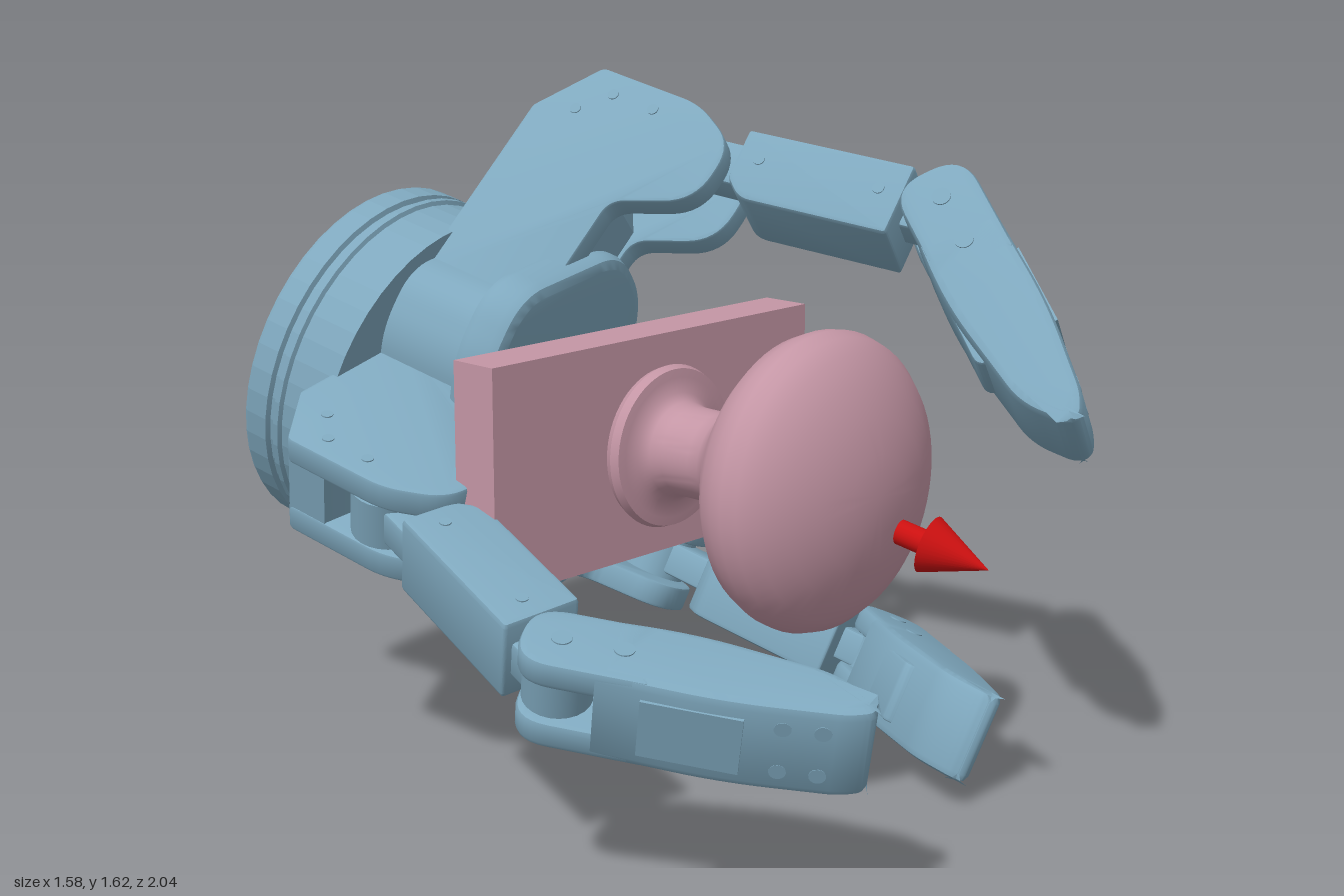
import * as THREE from 'three';
import { toCreasedNormals } from 'three/addons/utils/BufferGeometryUtils.js';

const V = (x, y, z) => new THREE.Vector3(x, y, z);
const blue = new THREE.MeshStandardMaterial({ color: 0x7fa8be });
const pink = new THREE.MeshStandardMaterial({ color: 0xc496a5 });
const red = new THREE.MeshStandardMaterial({ color: 0xcc1010 });

const AXIS = V(0.162, -0.248, 0.955).normalize(); // direction the hand points
const PALM = V(0.007, 0.739, -0.286);             // centre of the palm face

function add(parent, name, geo, mat = blue, x = 0, y = 0, z = 0) {
  const m = new THREE.Mesh(geo, mat);
  m.name = name;
  m.position.set(x, y, z);
  parent.add(m);
  return m;
}

// Polygon with rounded corners; each point is [x, y, radius]
function rounded(pts) {
  const s = new THREE.Shape();
  pts.forEach(([x, y, r = 0], i) => {
    const p = new THREE.Vector2(x, y);
    const toward = q => p.clone().add(new THREE.Vector2(q[0] - x, q[1] - y).setLength(r));
    const a = toward(pts[(i + pts.length - 1) % pts.length]);
    const b = toward(pts[(i + 1) % pts.length]);
    if (i) s.lineTo(a.x, a.y); else s.moveTo(a.x, a.y);
    if (r) s.quadraticCurveTo(x, y, b.x, b.y);
  });
  s.closePath();
  return s;
}

// Rounded outline extruded to thickness w, centred on z
function slab(pts, w, bevel = 0.008) {
  const g = new THREE.ExtrudeGeometry(rounded(pts), {
    depth: w - 2 * bevel, bevelEnabled: bevel > 0, bevelThickness: bevel,
    bevelSize: bevel, bevelOffset: -bevel, bevelSegments: 2, curveSegments: 8,
  });
  g.translate(0, 0, bevel - w / 2);
  return toCreasedNormals(g, 0.5);
}

const pin = (r, l) => new THREE.CylinderGeometry(r, r, l, 24).rotateX(Math.PI / 2);
const rect = (x0, x1, y0, y1, r = 0.02) => [[x0, y0, r], [x1, y0, r], [x1, y1, r], [x0, y1, r]];

// Group with x = radial, y = hand axis, z = hinge axis
function handFrame(name, hinge) {
  const h = hinge.clone().addScaledVector(AXIS, -hinge.dot(AXIS)).normalize();
  const r = AXIS.clone().cross(h);
  const g = new THREE.Group();
  g.name = name;
  g.applyMatrix4(new THREE.Matrix4().makeBasis(r, AXIS, h).setPosition(PALM));
  return g;
}

function link(parent, name, from, to) {
  const g = new THREE.Group();
  g.name = name;
  g.position.set(from[0], from[1], 0);
  g.rotation.z = Math.atan2(to[1] - from[1], to[0] - from[0]);
  parent.add(g);
  return g;
}

function knuckle(parent, du) {
  const g = new THREE.Group();
  g.name = 'knuckle';
  parent.add(g);
  const outline = [[0.14, -0.385], [0.66 + du, -0.385, 0.01], [0.82 + du, -0.27, 0.015], [0.82 + du, 0.02, 0.05],
    [0.75 + du, 0.16, 0.07], [0.58 + du, 0.16, 0.08], [0.5 + du, -0.04, 0.04], [0.14, -0.04]];
  // Solid back of the block; the hinge slot opens in front of it
  const core = [[0.14, -0.382], [0.66 + du, -0.382], [0.817 + du, -0.269], [0.817 + du, -0.16],
    [0.62 + du, -0.12], [0.52 + du, -0.05], [0.14, -0.05]];
  add(g, 'knuckleCore', slab(core, 0.2, 0));
  for (const s of [-1, 1]) {
    add(g, 'knuckleCheek', slab(outline, 0.065), blue, 0, 0, s * 0.0925);
    for (const [u, v] of [[0.76, -0.2], [0.69, -0.27], [0.76, -0.08]])
      add(g, 'knuckleScrew', pin(0.014, 0.006), blue, u + du, v, s * 0.125);
  }
  // Round port on the sloping back face
  const port = new THREE.TorusGeometry(0.05, 0.006, 8, 28).rotateX(Math.PI / 2);
  add(g, 'knucklePort', port, blue, 0.74 + du, -0.326, 0).rotation.z = Math.atan2(0.115, 0.16);
}

function proximal(parent, j1, j2) {
  const g = link(parent, 'proximalLink', j1, j2);
  add(g, 'innerHingeDrum', pin(0.085, 0.115));
  add(g, 'linkBar', slab(rect(-0.03, 0.7, -0.05, 0.06), 0.085));
  add(g, 'linkHousing', slab([[0.17, -0.065, 0.01], [0.6, -0.07, 0.01], [0.6, 0.115, 0.01], [0.22, 0.12, 0.03], [0.17, 0.07, 0.02]], 0.195, 0.012));
  add(g, 'outerHingeDrum', pin(0.075, 0.085), blue, 0.7);
  for (const s of [-1, 1]) for (const x of [0.23, 0.54])
    add(g, 'linkScrew', pin(0.014, 0.006), blue, x, 0.01, s * 0.0975);
}

function distal(parent, j2, tip) {
  const g = link(parent, 'fingertip', j2, tip);
  // Straight back, inner side sweeping out to the tip
  const outline = [[-0.085, -0.09, 0.085], [0.36, -0.1, 0.1], [0.6, -0.072, 0.03], [0.655, -0.045, 0.025],
    [0.645, -0.005, 0.02], [0.56, 0.06, 0.05], [0.26, 0.105, 0.1], [-0.085, 0.095, 0.085]];
  const core = [[0.09, -0.092], ...outline.slice(1, 7), [0.09, 0.097]];
  add(g, 'fingertipBody', slab(core, 0.22, 0.02));
  for (const s of [-1, 1]) {
    add(g, 'hingeProng', slab([outline[0], [0.2, -0.092, 0.01], [0.2, 0.093, 0.01], outline[7]], 0.065, 0.014), blue, 0, 0, s * 0.0775);
    for (const x of [0, 0.13]) add(g, 'hingeScrew', pin(0.022, 0.008), blue, x, 0, s * 0.109);
    // Screws on the back of the tip
    for (const [x, y] of [[0.47, -0.073], [0.55, -0.064]])
      add(g, 'tipScrew', new THREE.CylinderGeometry(0.018, 0.018, 0.03, 16), blue, x, y, s * 0.055).rotation.z = 0.12;
  }
  add(g, 'backPanel', new THREE.BoxGeometry(0.21, 0.02, 0.14), blue, 0.29, -0.092, 0);
  add(g, 'gripPad', slab(rect(0.16, 0.42, 0, 0.1, 0.03), 0.15));
}

function finger(hinge, offset, du, j1, j2, tip) {
  const f = handFrame('finger', hinge);
  const g = new THREE.Group();
  g.position.z = offset;
  g.name = 'fingerChain';
  f.add(g);
  knuckle(g, du);
  proximal(g, j1, j2);
  distal(g, j2, tip);
  return f;
}

function palm(hinge) {
  const g = handFrame('palm', hinge);
  const wrist = [[0, -0.615], [0.445, -0.615], [0.45, -0.605], [0.45, -0.545], [0.438, -0.54], [0.438, -0.525],
    [0.45, -0.52], [0.45, -0.505], [0.44, -0.5], [0.44, -0.365], [0, -0.365]];
  const w = new THREE.LatheGeometry(wrist.map(p => new THREE.Vector2(...p)), 48);
  add(g, 'wristDrum', toCreasedNormals(w, 0.1));
  // Rounded palm plate and the narrower body behind it
  const outline = k => [[0.32, 0.3, 0.07], [0.2, 0.47, 0.09], [-0.19, 0.47, 0.09], [-0.3, 0.31, 0.07],
    [-0.3, -0.31, 0.07], [-0.19, -0.46, 0.09], [0.2, -0.46, 0.09], [0.3, -0.3, 0.07]]
    .reverse().map(p => p.map(n => n * k));
  add(g, 'palmPlate', slab(outline(1), 0.12, 0.03).rotateX(-Math.PI / 2), blue, 0, -0.06, 0);
  add(g, 'palmBody', slab(outline(0.84), 0.32, 0).rotateX(-Math.PI / 2), blue, 0, -0.25, 0);
  add(g, 'palmHousing', new THREE.BoxGeometry(0.36, 0.29, 0.28), blue, -0.24, -0.25, -0.02);
  return g;
}

function knob() {
  const g = new THREE.Group();
  g.name = 'knobOnPlate';
  add(g, 'mountingPlate', new THREE.BoxGeometry(1.035, 0.52, 0.125), pink, 0, 0.8, 0.003);
  // Flange, neck and flared bulb, turned about z
  const pts = [[0, 0.06], [0.165, 0.06], [0.165, 0.075], [0.185, 0.078], [0.192, 0.095], [0.185, 0.115], [0.165, 0.118],
    [0.13, 0.122], [0.112, 0.14], [0.105, 0.17], [0.104, 0.25], [0.11, 0.285], [0.13, 0.315],
    [0.285, 0.455], [0.317, 0.49], [0.333, 0.53], [0.336, 0.56], [0.325, 0.595], [0.295, 0.63],
    [0.24, 0.665], [0.17, 0.695], [0.09, 0.713], [0, 0.72]];
  const geo = new THREE.LatheGeometry(pts.map(p => new THREE.Vector2(...p)), 64).rotateX(Math.PI / 2);
  add(g, 'knob', toCreasedNormals(geo, 0.7), pink, 0, 0.8, 0);
  return g;
}

function arrow() {
  const g = new THREE.Group();
  g.name = 'arrow';
  const dir = V(0.03, -0.035, 0.135).normalize();
  g.position.set(0.137, 0.645, 0.907);
  g.quaternion.setFromUnitVectors(V(0, 1, 0), dir);
  add(g, 'arrowHead', new THREE.ConeGeometry(0.065, 0.145, 32), red, 0, -0.0725, 0);
  add(g, 'arrowShaft', new THREE.CylinderGeometry(0.028, 0.028, 0.22, 24), red, 0, -0.25, 0);
  return g;
}

export function createModel() {
  const model = new THREE.Group();
  model.name = 'gripperHoldingKnob';
  model.add(
    palm(V(-0.1, 0.96, 0.27)),
    finger(V(0.73, -0.65, -0.2), -0.22, 0, [0.73, 0], [0.82, 0.69], [0.44, 1.19]),
    finger(V(-0.365, -0.913, -0.18), 0.225, -0.035, [0.68, 0.03], [0.69, 0.73], [0.22, 1.16]),
    finger(V(-0.19, 0.945, 0.277), 0.085, -0.17, [0.565, -0.04], [0.785, 0.63], [0.53, 1.18]),
    knob(),
    arrow(),
  );
  return model;
}
